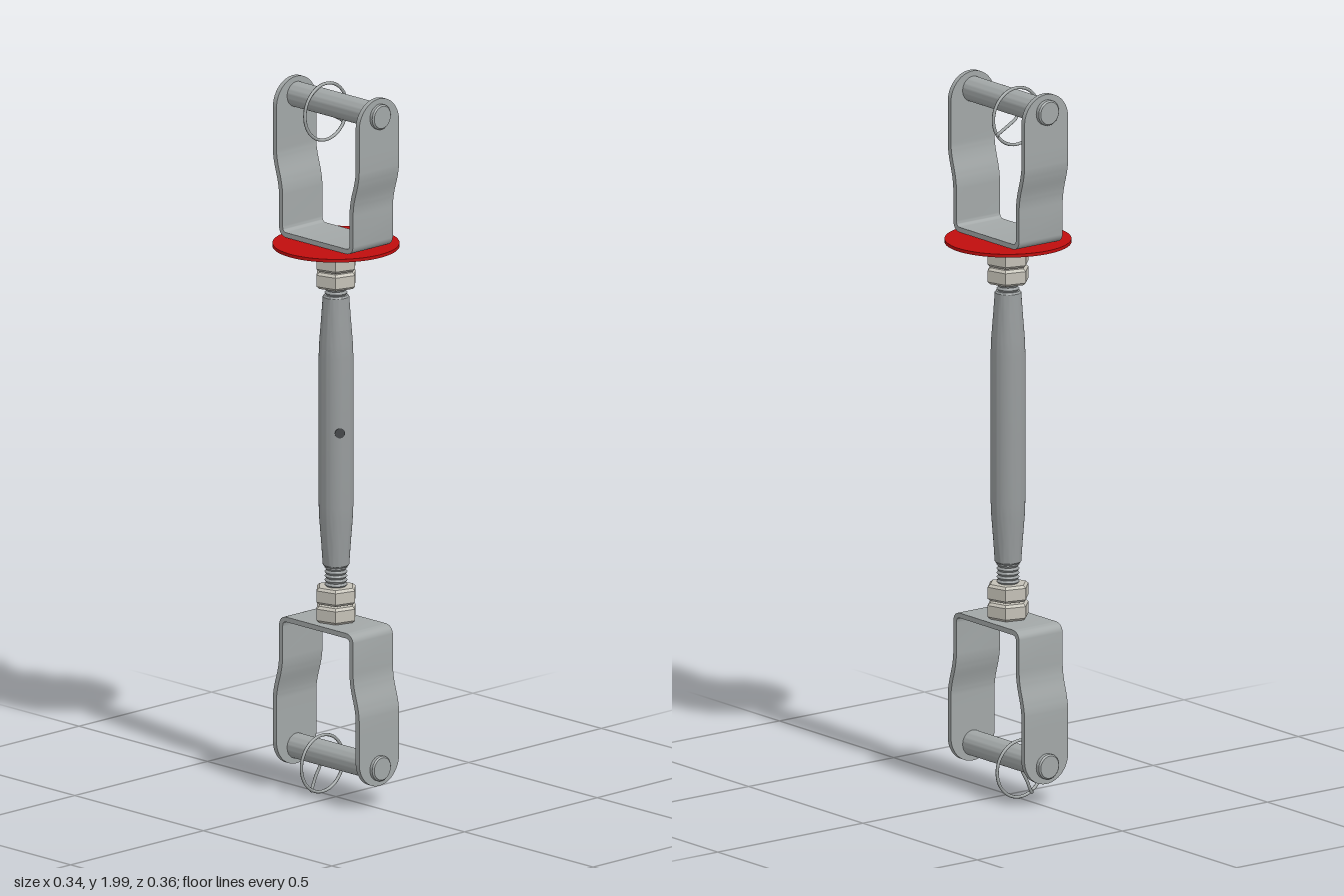
import * as THREE from 'three';
import { toCreasedNormals } from 'three/addons/utils/BufferGeometryUtils.js';

const mat = (name, color) => new THREE.MeshStandardMaterial({ name, color });
const V2 = (x, y) => new THREE.Vector2(x, y);
const V3 = (x, y, z) => new THREE.Vector3(x, y, z);

export function createModel() {
  const root = new THREE.Group();
  root.name = 'turnbuckle';
  const steel = mat('steel', 0xa2a7a7);
  const bodySteel = mat('bodySteel', 0x989c9d);
  const nutMetal = mat('nutMetal', 0xc4c1b7);
  const red = mat('red', 0xc00d0d);
  const dark = mat('darkHole', 0x45484a);

  const add = (parent, name, geo, material) => {
    const m = new THREE.Mesh(geo, material);
    m.name = name;
    parent.add(m);
    return m;
  };
  // Turned part from [radius, y] pairs, with crisp edges
  const turned = (pts, segs = 40, crease = 0.45) =>
    toCreasedNormals(new THREE.LatheGeometry(pts.map(p => V2(...p)), segs), crease);

  // Bent strap: a centre line in (z, y), thickened and extruded along x
  const W = 0.15, T = 0.014, BEND = 0.28, TIP = 0.432, PIN_Y = 0.382;
  function strapGeometry() {
    const line = new THREE.Path();
    const h = T / 2;
    line.moveTo(0, h);
    line.lineTo(0.115, h);
    line.quadraticCurveTo(0.137, h, 0.137, 0.03);
    line.lineTo(0.137, 0.11);
    line.quadraticCurveTo(0.137, 0.14, 0.148, 0.175);
    line.quadraticCurveTo(0.161, 0.215, 0.161, 0.24);
    line.lineTo(0.161, BEND);
    const half = line.getPoints(8);
    const pts = [...half.slice(1).reverse().map(p => V2(-p.x, p.y)), ...half];
    const side = s => pts.map((p, i) => {
      const a = pts[Math.max(i - 1, 0)], b = pts[Math.min(i + 1, pts.length - 1)];
      const d = b.clone().sub(a).normalize();
      return V2(p.x - d.y * h * s, p.y + d.x * h * s);
    });
    const shape = new THREE.Shape([...side(-1), ...side(1).reverse()]);
    const g = new THREE.ExtrudeGeometry(shape, { depth: W, bevelEnabled: false });
    g.translate(0, 0, -W / 2).rotateY(-Math.PI / 2);
    return toCreasedNormals(g, 0.6);
  }

  // Rounded arm end, a plate in (x, y)
  function armEndGeometry() {
    const r = W / 2, s = new THREE.Shape();
    s.moveTo(-r, BEND);
    s.lineTo(r, BEND);
    s.absarc(0, TIP - r, r, 0, Math.PI, false);
    s.closePath();
    const g = new THREE.ExtrudeGeometry(s, { depth: T, bevelEnabled: false, curveSegments: 24 });
    return toCreasedNormals(g.translate(0, 0, -T / 2), 0.6);
  }

  // Fork with its cross pin
  function clevis(name) {
    const g = new THREE.Group();
    g.name = name;
    add(g, 'forkStrap', strapGeometry(), steel);
    for (const s of [1, -1]) {
      add(g, 'forkEnd', armEndGeometry(), steel).position.z = s * 0.161;
    }
    const pin = add(g, 'crossPin', turned([
      [0, -0.183], [0.031, -0.183], [0.035, -0.179], [0.035, 0.177], [0.031, 0.181], [0, 0.181],
    ]), steel);
    pin.rotation.x = Math.PI / 2;
    pin.position.y = PIN_Y;
    root.add(g);
    return g;
  }
  clevis('upperFork').position.y = 1.568;
  const lower = clevis('lowerFork');
  lower.position.y = 0.503;
  lower.rotation.z = Math.PI;

  // Wire retaining ring whose end turns inward to the pin
  function clip(name, cx, cy, angle) {
    const g = new THREE.Group();
    g.name = name;
    const R = 0.079, wire = 0.0045;
    add(g, 'clipRing', new THREE.TorusGeometry(R, wire, 8, 56), steel);
    const at = (r, a, z) => V3(Math.cos(a) * r, Math.sin(a) * r, z);
    const path = new THREE.CatmullRomCurve3([
      at(R, angle - 0.12, 0), at(R + 0.001, angle - 0.03, -0.006),
      at(R - 0.012, angle, -0.009), at(0.035, angle, -0.009), at(0.006, angle, -0.006),
      V3(-cx, (cy > 1 ? 1.95 : 0.121) - cy, 0),
    ]);
    add(g, 'clipEnd', new THREE.TubeGeometry(path, 32, wire, 8), steel);
    g.position.set(cx, cy, -0.053);
    root.add(g);
  }
  clip('upperClip', 0.013, 1.918, -0.5);
  clip('lowerClip', 0, 0.091, -2.0);

  // Tapered body
  add(root, 'body', turned([
    [0, 0.656], [0.032, 0.656], [0.036, 0.661], [0.04, 0.72], [0.0455, 0.79], [0.047, 0.83],
    [0.047, 1.245], [0.0455, 1.285], [0.04, 1.355], [0.036, 1.413], [0.032, 1.418], [0, 1.418],
  ], 48, 0.5), bodySteel);

  // Sight hole on the body
  const hole = add(root, 'sightHole', new THREE.CylinderGeometry(0.014, 0.014, 0.006, 24), dark);
  const a = Math.atan2(-0.024, 0.04);
  hole.rotation.set(Math.PI / 2, 0, 0);
  hole.rotation.order = 'YXZ';
  hole.rotation.y = a;
  hole.position.set(Math.sin(a) * 0.0455, 1.04, Math.cos(a) * 0.0455);

  // Threaded rods
  function rod(name, y0, y1) {
    const pts = [[0, y0], [0.026, y0]], n = Math.round((y1 - y0) / 0.012), p = (y1 - y0) / n;
    for (let i = 0; i < n; i++) {
      pts.push([0.031, y0 + (i + 0.5) * p], [0.026, y0 + (i + 1) * p]);
    }
    pts.push([0, y1]);
    add(root, name, turned(pts, 28), bodySteel);
  }
  rod('lowerRod', 0.48, 0.67);
  rod('upperRod', 1.405, 1.53);

  // Paired hexagon nuts with chamfered rims
  for (const y of [0.503, 0.554, 1.44, 1.489]) {
    const nut = add(root, 'hexNut', turned([
      [0, 0], [0.052, 0], [0.06, 0.007], [0.06, 0.039], [0.052, 0.046], [0, 0.046],
    ], 6, 0.2), nutMetal);
    nut.position.y = y;
    nut.rotation.y = Math.PI / 12;
  }

  // Red disc with its small collar
  add(root, 'disc', turned([[0, 1.554], [0.172, 1.554], [0.172, 1.563], [0, 1.563]], 72), red);
  add(root, 'discCollar', turned([[0, 1.53], [0.018, 1.53], [0.024, 1.555], [0, 1.555]], 28), red);
  add(root, 'discSpacer', new THREE.CylinderGeometry(0.03, 0.03, 0.008, 28), steel).position.y = 1.566;

  return root;
}
